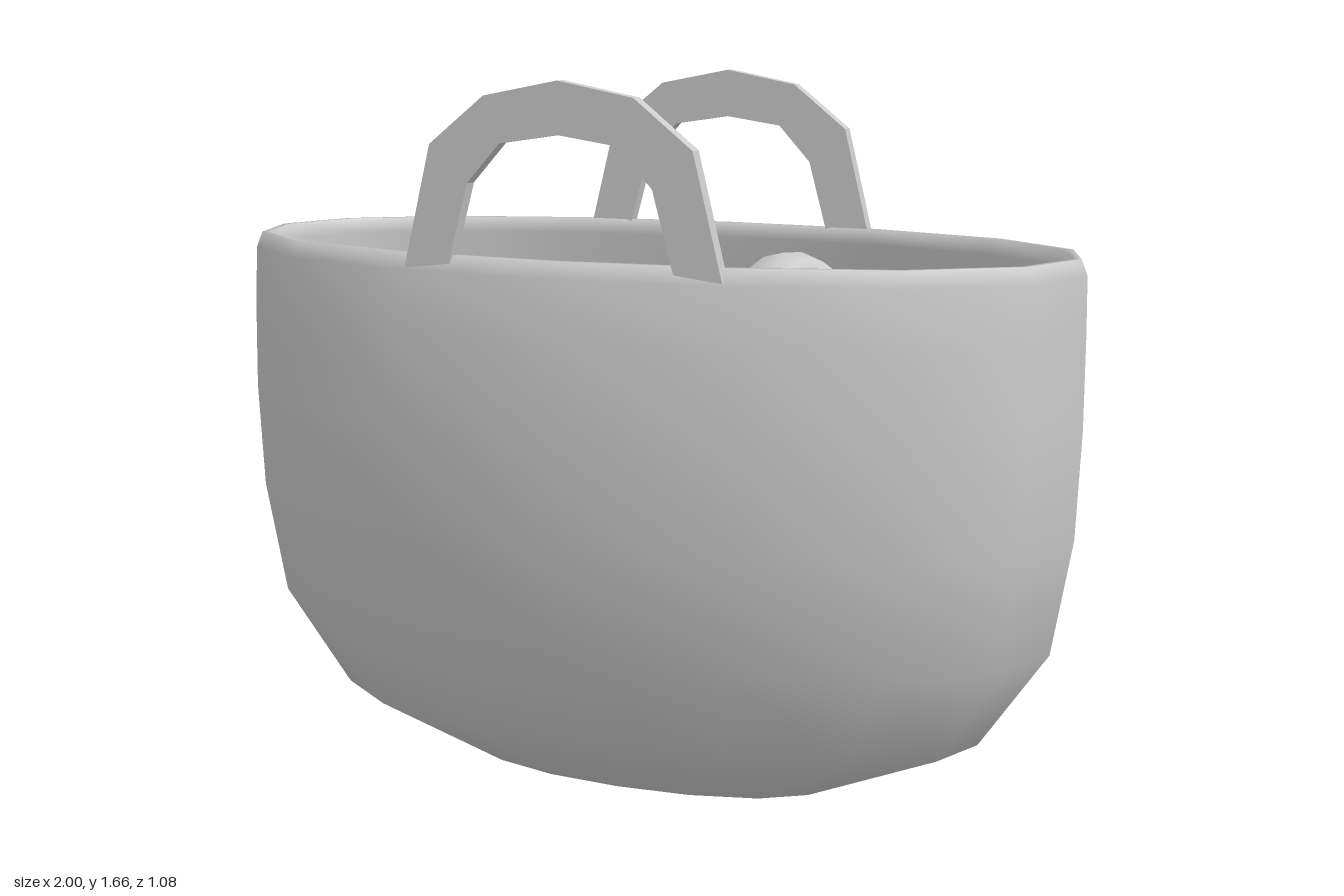
import * as THREE from 'three';
import { mergeVertices } from 'three/addons/utils/BufferGeometryUtils.js';

const grey = new THREE.MeshStandardMaterial({ color: 0xcccccc });
const flatGrey = new THREE.MeshStandardMaterial({ color: 0xcccccc, flatShading: true });

function named(geometry, material, name) {
  const mesh = new THREE.Mesh(geometry, material);
  mesh.name = name;
  return mesh;
}

// Revolve a profile, then weld the seam so the shading stays smooth
function smoothed(geometry) {
  geometry.deleteAttribute('uv');
  geometry.deleteAttribute('normal');
  const welded = mergeVertices(geometry, 1e-5);
  welded.computeVertexNormals();
  return welded;
}

// Basket: oval bowl with a wall; rows are [half width, half depth, height]
function makeBasket() {
  const rows = [
    [0, 0, 0], [0.45, 0.2, 0.05], [0.79, 0.375, 0.195], [0.945, 0.48, 0.42],
    [0.99, 0.525, 0.68], [1, 0.54, 0.92], [1, 0.527, 1.12], [0.998, 0.507, 1.25],
    [0.985, 0.49, 1.285], [0.965, 0.47, 1.285], [0.955, 0.46, 1.25],
    [0.96, 0.487, 1.12], [0.96, 0.505, 0.92], [0.95, 0.49, 0.68],
    [0.905, 0.445, 0.42], [0.75, 0.34, 0.22], [0.42, 0.18, 0.09], [0, 0, 0.05],
  ];
  const sides = 16;
  const geo = new THREE.LatheGeometry(rows.map(([rx, , y]) => new THREE.Vector2(rx, y)), sides);
  const pos = geo.attributes.position;
  for (let i = 0; i < pos.count; i++) {
    const [rx, rz] = rows[i % rows.length];
    const phi = (Math.floor(i / rows.length) / sides) * Math.PI * 2;
    const bulge = 1 + 0.025 * Math.sin(2 * phi) ** 2; // slightly squarer than an ellipse
    pos.setX(i, Math.sin(phi) * rx * bulge);
    pos.setZ(i, Math.cos(phi) * rz * bulge);
  }
  return named(smoothed(geo), grey, 'basket');
}

// Handle: flat faceted arch, half outline mirrored
function makeHandle(z) {
  const outer = [[0.368, 1.255], [0.302, 1.52], [0.172, 1.623]];
  const inner = [[0.26, 1.268], [0.213, 1.44], [0.135, 1.525]];
  const mirror = ([x, y]) => [-x, y];
  const outline = [
    ...outer, [0, 1.656], ...outer.map(mirror).reverse(),
    ...inner.map(mirror), [0, 1.545], ...[...inner].reverse(),
  ];
  const shape = new THREE.Shape(outline.map(([x, y]) => new THREE.Vector2(x, y)));
  const geo = new THREE.ExtrudeGeometry(shape, { depth: 0.032, bevelEnabled: false });
  geo.translate(0, 0, z - 0.016);
  return named(geo, flatGrey, z > 0 ? 'frontHandle' : 'backHandle');
}

// Apple: dimpled fruit body and a bent stem
const appleProfile = [
  [0, -0.125], [0.035, -0.14], [0.07, -0.147], [0.115, -0.122], [0.148, -0.068],
  [0.165, 0], [0.162, 0.055], [0.14, 0.11], [0.1, 0.143], [0.06, 0.142],
  [0.028, 0.118], [0, 0.092],
].map(([r, y]) => new THREE.Vector2(r, y));

const appleGeometry = smoothed(new THREE.LatheGeometry(appleProfile, 14));
const stemGeometry = new THREE.TubeGeometry(
  new THREE.QuadraticBezierCurve3(
    new THREE.Vector3(0, 0.09, 0), new THREE.Vector3(0, 0.14, 0), new THREE.Vector3(0.012, 0.182, 0.006),
  ), 4, 0.006, 6,
);

function makeApple([x, y, z, ux = 0, uy = 1, uz = 0]) {
  const apple = new THREE.Group();
  apple.name = 'apple';
  apple.add(named(appleGeometry, grey, 'appleBody'), named(stemGeometry, grey, 'appleStem'));
  apple.position.set(x, y, z);
  apple.quaternion.setFromUnitVectors(
    new THREE.Vector3(0, 1, 0), new THREE.Vector3(ux, uy, uz).normalize(),
  );
  return apple;
}

// Pile: position, then the direction each stem points
const apples = [
  // top layer
  [0.22, 1.065, -0.28, 0.72, 0.55, 0.3],
  [0.43, 1.06, -0.03, 0.03, 1, 0.08],
  [0.28, 1.02, 0.26, 0.03, 1, 0.08],
  // upper layer
  [-0.58, 0.935, 0.16, -0.48, 0.7, -0.45],
  [-0.61, 0.83, -0.14, 0, 1, 0.1],
  [-0.28, 0.82, -0.24, 0.62, 0.75, -0.2],
  [-0.27, 0.8, 0.21, 0, 1, 0.12],
  [0.04, 0.79, -0.2, -0.1, 0.85, -0.42],
  [0.06, 0.85, 0.12, -0.35, 0.9, 0.2],
  [0.57, 0.78, -0.12, 0.35, 0.75, -0.5],
  [0.56, 0.78, 0.19, -0.25, 0.93, 0.25],
  // middle layer
  [-0.28, 0.6, 0, 0, 1, 0.15],
  [0, 0.55, 0.2],
  [0.29, 0.6, 0],
  [-0.61, 0.52, 0],
  [0.61, 0.5, 0.02],
  // bottom layer
  [-0.48, 0.28, 0], [0.48, 0.28, 0],
  [-0.16, 0.3, -0.165], [0.16, 0.3, -0.165],
  [-0.16, 0.28, 0.15], [0.16, 0.28, 0.15],
];

export function createModel() {
  const model = new THREE.Group();
  model.name = 'appleBasket';
  model.add(makeBasket(), makeHandle(0.464), makeHandle(-0.464));
  const pile = new THREE.Group();
  pile.name = 'apples';
  apples.forEach((a) => pile.add(makeApple(a)));
  model.add(pile);
  return model;
}
